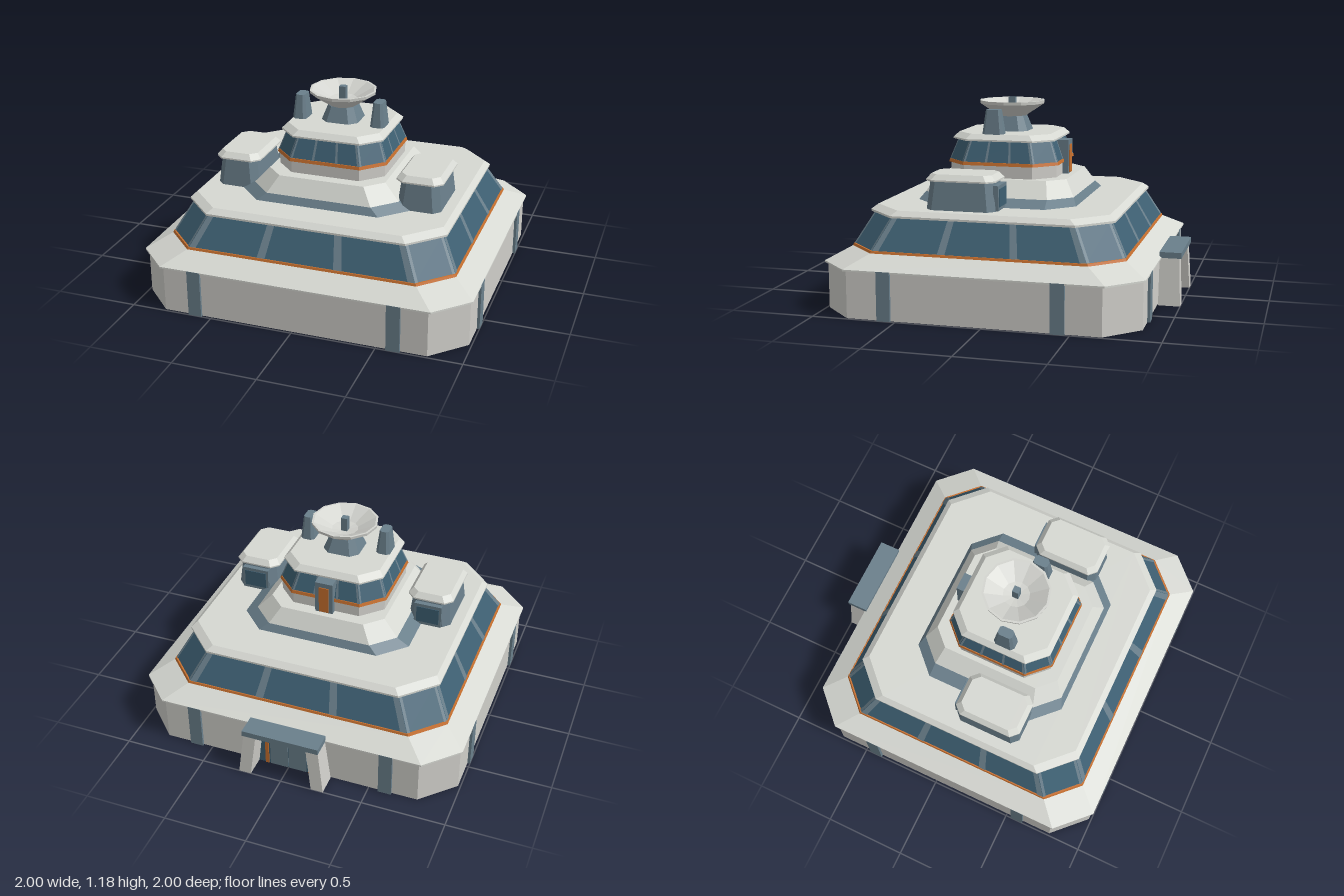
import * as THREE from 'three';

const mat = (name, color, side = THREE.FrontSide) => {
  const m = new THREE.MeshStandardMaterial({ color, side });
  m.name = name;
  return m;
};

// Eight corners of a rectangle with cut corners, counter-clockwise from above
function ring([y, hx, hz, c]) {
  const a = hx - c, b = hz - c;
  return [[hx, b], [hx, -b], [a, -hz], [-a, -hz], [-hx, -b], [-hx, b], [-a, hz], [a, hz]]
    .map(([x, z]) => new THREE.Vector3(x, y, z));
}

function fromTriangles(points) {
  const g = new THREE.BufferGeometry().setFromPoints(points);
  g.computeVertexNormals();
  return g;
}

// Closed solid through a stack of cut-corner sections [y, halfX, halfZ, cut]
function tierGeometry(sections) {
  const rings = sections.map(ring), pts = [];
  for (let k = 0; k < rings.length - 1; k++) {
    const b = rings[k], t = rings[k + 1];
    for (let i = 0; i < 8; i++) {
      const j = (i + 1) % 8;
      pts.push(b[i], b[j], t[j], b[i], t[j], t[i]);
    }
  }
  const bottom = rings[0], top = rings[rings.length - 1];
  for (let i = 1; i < 7; i++) {
    pts.push(top[0], top[i], top[i + 1], bottom[0], bottom[i + 1], bottom[i]);
  }
  return fromTriangles(pts);
}

// Thin strips lying just outside the sloping window faces
function mullionGeometry(lower, upper) {
  const b = ring(lower), t = ring(upper), pts = [];
  for (let i = 0; i < 8; i++) {
    const j = (i + 1) % 8;
    const n = b[j].clone().sub(b[i]).cross(t[i].clone().sub(b[i])).normalize().multiplyScalar(0.004);
    const spans = i % 2 ? [[0, 0.07], [0.93, 1]] : [[0, 0.03], [0.312, 0.348], [0.652, 0.688], [0.97, 1]];
    for (const [u, v] of spans) {
      const p = (e, f, s) => e.clone().lerp(f, s).add(n);
      const q = [p(b[i], b[j], u), p(b[i], b[j], v), p(t[i], t[j], v), p(t[i], t[j], u)];
      pts.push(q[0], q[1], q[2], q[0], q[2], q[3]);
    }
  }
  return fromTriangles(pts);
}

export function createModel() {
  const hull = mat('pale hull', 0xd6d8d2);
  const wall = mat('warm grey wall', 0xd0cfca);
  const slate = mat('slate trim', 0x6a7f8b);
  const glass = mat('blue glass', 0x3e6073);
  const orange = mat('orange accent', 0xc8702e);
  const dishMat = mat('dish shell', 0xd4d5d0, THREE.DoubleSide);
  dishMat.flatShading = true;

  const model = new THREE.Group();
  model.name = 'commandBase';

  const add = (name, geometry, material, x = 0, y = 0, z = 0, parent = model) => {
    const m = new THREE.Mesh(geometry, material);
    m.name = name;
    m.position.set(x, y, z);
    parent.add(m);
    return m;
  };
  const box = (name, w, h, d, material, x, y, z, parent) =>
    add(name, new THREE.BoxGeometry(w, h, d), material, x, y, z, parent);
  const tier = (name, sections, material, x, z, parent) =>
    add(name, tierGeometry(sections), material, x, 0, z, parent);

  // Ground storey with sloping skirt roof
  const C = 0.06;
  tier('baseWall', [[0, 0.985, 0.925, 0.19], [0.28, 0.985, 0.925, 0.19]], wall, 0, C);
  tier('skirtRoof', [[0.275, 1, 0.94, 0.19], [0.285, 1, 0.94, 0.19], [0.358, 0.87, 0.81, 0.18]], hull, 0, C);
  for (const s of [-1, 1]) {
    for (const t of [-1, 1]) {
      box('endPilaster', 0.08, 0.285, 0.03, slate, s * 0.6, 0.1425, C + t * 0.926);
      box('sidePilaster', 0.03, 0.285, 0.08, slate, t * 0.986, 0.1425, 0.07 + s * 0.5);
    }
  }

  // Main window storey
  const lower = [0.369, 0.862, 0.802, 0.18], upper = [0.555, 0.76, 0.70, 0.17];
  tier('mainAccentBand', [[0.355, 0.873, 0.813, 0.18], [0.37, 0.868, 0.808, 0.18]], orange, 0, C);
  tier('mainWindows', [lower, upper], glass, 0, C);
  add('mainMullions', mullionGeometry(lower, upper), slate, 0, 0, C);
  tier('mainRoof', [[0.55, 0.79, 0.73, 0.19], [0.562, 0.79, 0.73, 0.19], [0.59, 0.76, 0.695, 0.19]], hull, 0, C);

  // Stepped plinth in the middle of the roof
  const P = 0.088;
  tier('plinthFoot', [[0.585, 0.535, 0.487, 0.155], [0.633, 0.45, 0.457, 0.13]], slate, 0, P);
  tier('plinthTop', [[0.633, 0.45, 0.457, 0.13], [0.73, 0.36, 0.4, 0.1]], hull, 0, P);

  // Upper control cabin
  const T = 0.09;
  const cabLow = [0.82, 0.333, 0.333, 0.12], cabHigh = [0.95, 0.285, 0.285, 0.105];
  tier('cabinWall', [[0.725, 0.33, 0.33, 0.12], [0.805, 0.33, 0.33, 0.12]], wall, 0, T);
  tier('cabinAccentBand', [[0.803, 0.341, 0.341, 0.125], [0.822, 0.337, 0.337, 0.125]], orange, 0, T);
  tier('cabinWindows', [cabLow, cabHigh], glass, 0, T);
  add('cabinMullions', mullionGeometry(cabLow, cabHigh), slate, 0, 0, T);
  tier('cabinRoof', [[0.945, 0.315, 0.315, 0.11], [0.955, 0.315, 0.315, 0.11], [0.985, 0.285, 0.285, 0.105]], hull, 0, T);
  box('cabinDoorFrame', 0.11, 0.205, 0.1, slate, 0, 0.8325, -0.226);
  box('cabinDoor', 0.06, 0.17, 0.008, orange, 0, 0.82, -0.277);

  // Side pods and roof fins, mirrored
  for (const s of [-1, 1]) {
    const pod = new THREE.Group();
    pod.name = s > 0 ? 'leftPod' : 'rightPod';
    pod.position.set(s * 0.565, 0, 0.217);
    model.add(pod);
    tier('podBody', [[0.585, 0.132, 0.207, 0.04], [0.765, 0.112, 0.187, 0.04]], slate, 0, 0, pod);
    tier('podRoof', [[0.757, 0.14, 0.207, 0.045], [0.766, 0.14, 0.207, 0.045], [0.797, 0.115, 0.18, 0.04]], hull, 0, 0, pod);
    box('podDoorFrame', 0.17, 0.145, 0.03, slate, 0, 0.665, -0.206, pod);
    box('podDoor', 0.14, 0.105, 0.006, glass, 0, 0.665, -0.222, pod);
    tier('roofFin', [[0.98, 0.044, 0.066, 0.018], [1.13, 0.029, 0.045, 0.013]], slate, s * 0.243, 0.138);
  }

  // Dish aerial
  tier('dishPedestal', [[0.98, 0.115, 0.115, 0.045], [1.075, 0.08, 0.08, 0.032]], slate, 0, T);
  const profile = [[0, 1.07], [0.08, 1.07], [0.2, 1.15], [0.203, 1.168], [0.19, 1.168], [0.08, 1.11], [0, 1.095]]
    .map(([r, y]) => new THREE.Vector2(r, y));
  add('dish', new THREE.LatheGeometry(profile, 12), dishMat, 0, 0, T);
  box('dishReceiver', 0.04, 0.1, 0.04, slate, 0, 1.135, T);

  // Rear entrance: flared piers, canopy and sliding doors
  for (const s of [-1, 1]) {
    const pier = new THREE.BoxGeometry(0.075, 0.285, 0.13);
    const p = pier.attributes.position;
    for (let i = 0; i < p.count; i++) {
      if (p.getY(i) < 0) p.setX(i, p.getX(i) + s * 0.035);
      else if (p.getZ(i) < 0) p.setZ(i, p.getZ(i) + 0.015);
    }
    pier.computeVertexNormals();
    add('entrancePier', pier, wall, s * 0.192, 0.1425, -0.935);
    box('entranceDoor', 0.112, 0.25, 0.02, slate, s * 0.058, 0.125, -0.866);
    box('entranceAccent', 0.022, 0.25, 0.02, orange, s * 0.135, 0.125, -0.868);
  }
  box('entranceRecess', 0.38, 0.275, 0.01, glass, 0, 0.1375, -0.867);
  box('entranceCanopy', 0.47, 0.035, 0.13, slate, 0, 0.298, -0.933);

  return model;
}
